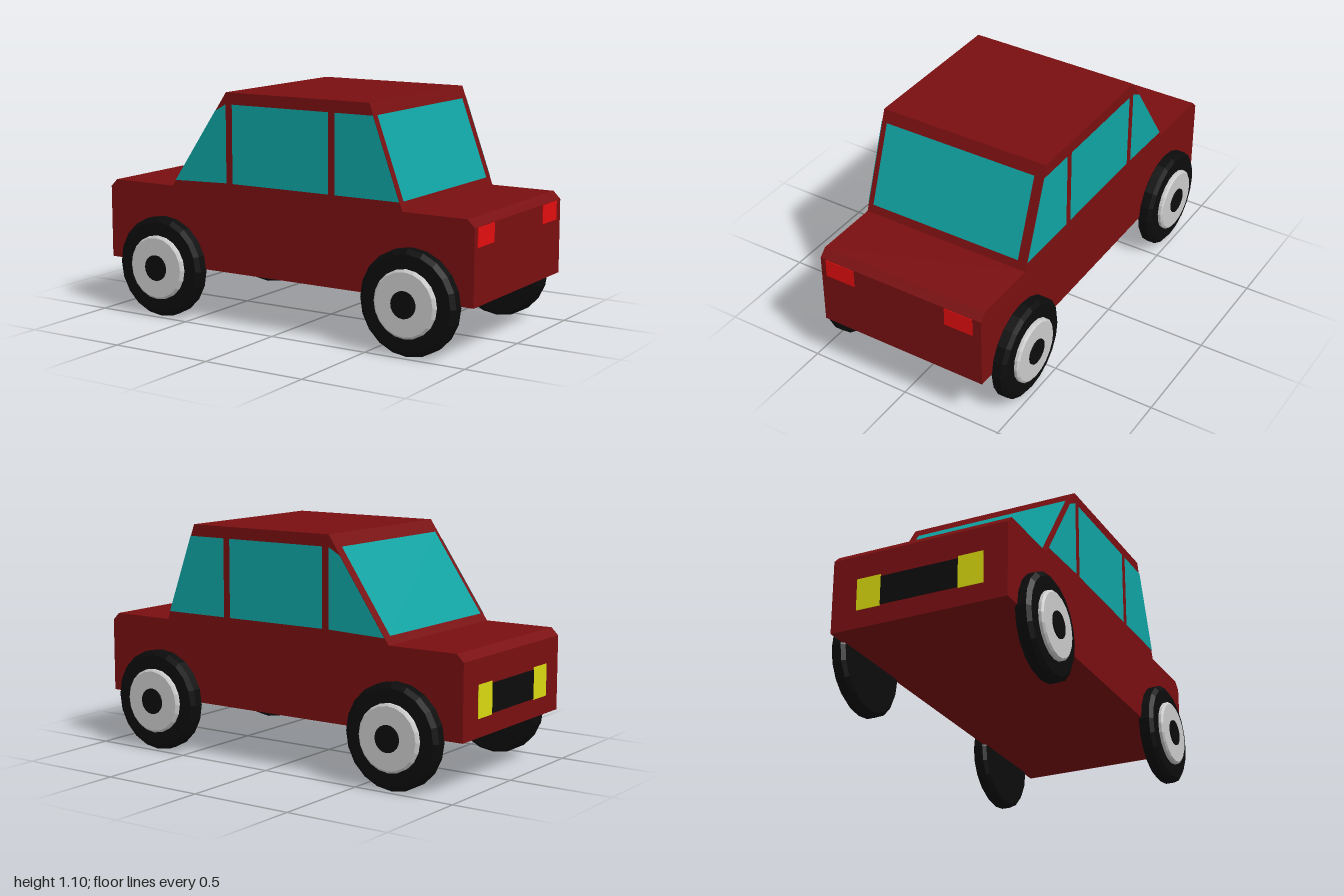
import * as THREE from 'three';

const mat = (color, extra = {}) =>
  new THREE.MeshStandardMaterial({ color, flatShading: true, ...extra });
const paint = mat(0x7a0f11);
const glass = mat(0x10a4a4, { side: THREE.DoubleSide });
const rubber = mat(0x0c0c0c);
const metal = mat(0xcccccc);
const tailRed = mat(0xe40e0e);
const lampYellow = mat(0xdada10);

function add(parent, name, geometry, material) {
  const mesh = new THREE.Mesh(geometry, material);
  mesh.name = name;
  parent.add(mesh);
  return mesh;
}

const shapeOf = (pts) => new THREE.Shape(pts.map(([x, y]) => new THREE.Vector2(x, y)));

// sloping cabin edges: x at a given height
const screenX = (y) => THREE.MathUtils.mapLinear(y, 0.635, 1.1, -0.62, -0.3);
const rearX = (y) => THREE.MathUtils.mapLinear(y, 0.635, 1.1, 0.645, 0.475);

// thin glass sheet across the car, lying on a sloping cabin edge
function slopedPane(edgeX, offset, y0, y1, z0, z1) {
  const g = new THREE.PlaneGeometry(1, 1);
  const a = edgeX(y0) + offset, b = edgeX(y1) + offset;
  const corners = [[b, y1, z1], [b, y1, z0], [a, y0, z1], [a, y0, z0]];
  corners.forEach((c, i) => g.attributes.position.setXYZ(i, ...c));
  g.computeVertexNormals();
  return g;
}

// wheel along +z: bevelled tyre, metal disc and centre cap
function makeWheel() {
  const wheel = new THREE.Group();
  wheel.name = 'wheel';
  const turned = (pts) =>
    new THREE.LatheGeometry(pts.map(([r, h]) => new THREE.Vector2(r, h)), 20).rotateX(Math.PI / 2);
  add(wheel, 'tyre', turned([[0, 0.41], [0.225, 0.41], [0.242, 0.425], [0.242, 0.468],
    [0.22, 0.483], [0, 0.483]]), rubber);
  add(wheel, 'wheelDisc', turned([[0.155, 0.48], [0.155, 0.497], [0.145, 0.505], [0, 0.505]]), metal);
  add(wheel, 'hubCap', turned([[0.062, 0.5], [0.062, 0.511], [0, 0.511]]), rubber);
  return wheel;
}

export function createModel() {
  const car = new THREE.Group();
  car.name = 'car';

  // body: side profile carried across the width, nose towards -x
  const profile = [[-1, 0.25], [1, 0.25], [1, 0.6], [0.965, 0.635], [0.645, 0.635], [0.475, 1.1],
    [-0.3, 1.1], [-0.62, 0.635], [-0.965, 0.635], [-1, 0.6]];
  const body = new THREE.ExtrudeGeometry(shapeOf(profile), { depth: 0.85, bevelEnabled: false });
  add(car, 'body', body.translate(0, 0, -0.422), paint);

  // side windows, three on each side
  const low = 0.675, high = 1.045;
  const windows = {
    frontSideWindow: [[screenX(0.665), 0.665], [-0.3, low], [-0.3, high], [screenX(1.01), 1.01]],
    middleSideWindow: [[-0.265, low], [0.262, low], [0.262, high], [-0.265, high]],
    rearSideWindow: [[0.297, low], [rearX(low), low], [rearX(high), high], [0.297, high]],
  };
  for (const [name, pts] of Object.entries(windows)) {
    for (const z of [0.431, -0.425]) {
      add(car, name, new THREE.ShapeGeometry(shapeOf(pts)), glass).position.z = z;
      if (z < 0) car.children.at(-1).geometry.scale(-1, 1, 1).rotateY(Math.PI);
    }
  }

  // windscreen and rear window
  add(car, 'windscreen', slopedPane(screenX, -0.004, 0.67, 1.045, 0.4, -0.38), glass);
  add(car, 'rearWindow', slopedPane(rearX, 0.004, low, high, -0.378, 0.4), glass);

  // lights and grille, thin plates on the two ends
  const plate = (name, x, y0, y1, z0, z1, material) =>
    add(car, name, new THREE.BoxGeometry(0.006, y1 - y0, z1 - z0), material)
      .position.set(x, (y0 + y1) / 2, (z0 + z1) / 2);
  plate('tailLight', 1, 0.51, 0.598, 0.248, 0.4, tailRed);
  plate('tailLight', 1, 0.51, 0.598, -0.378, -0.234, tailRed);
  plate('headlight', -1, 0.335, 0.485, 0.195, 0.315, lampYellow);
  plate('headlight', -1, 0.335, 0.485, -0.298, -0.18, lampYellow);
  plate('grille', -1, 0.34, 0.475, -0.18, 0.195, rubber);

  // wheels
  for (const [x, side] of [[-0.67, 1], [0.698, 1], [-0.67, -1], [0.682, -1]]) {
    const wheel = makeWheel();
    wheel.position.set(x, 0.242, 0);
    if (side < 0) wheel.rotation.y = Math.PI;
    car.add(wheel);
  }
  return car;
}
